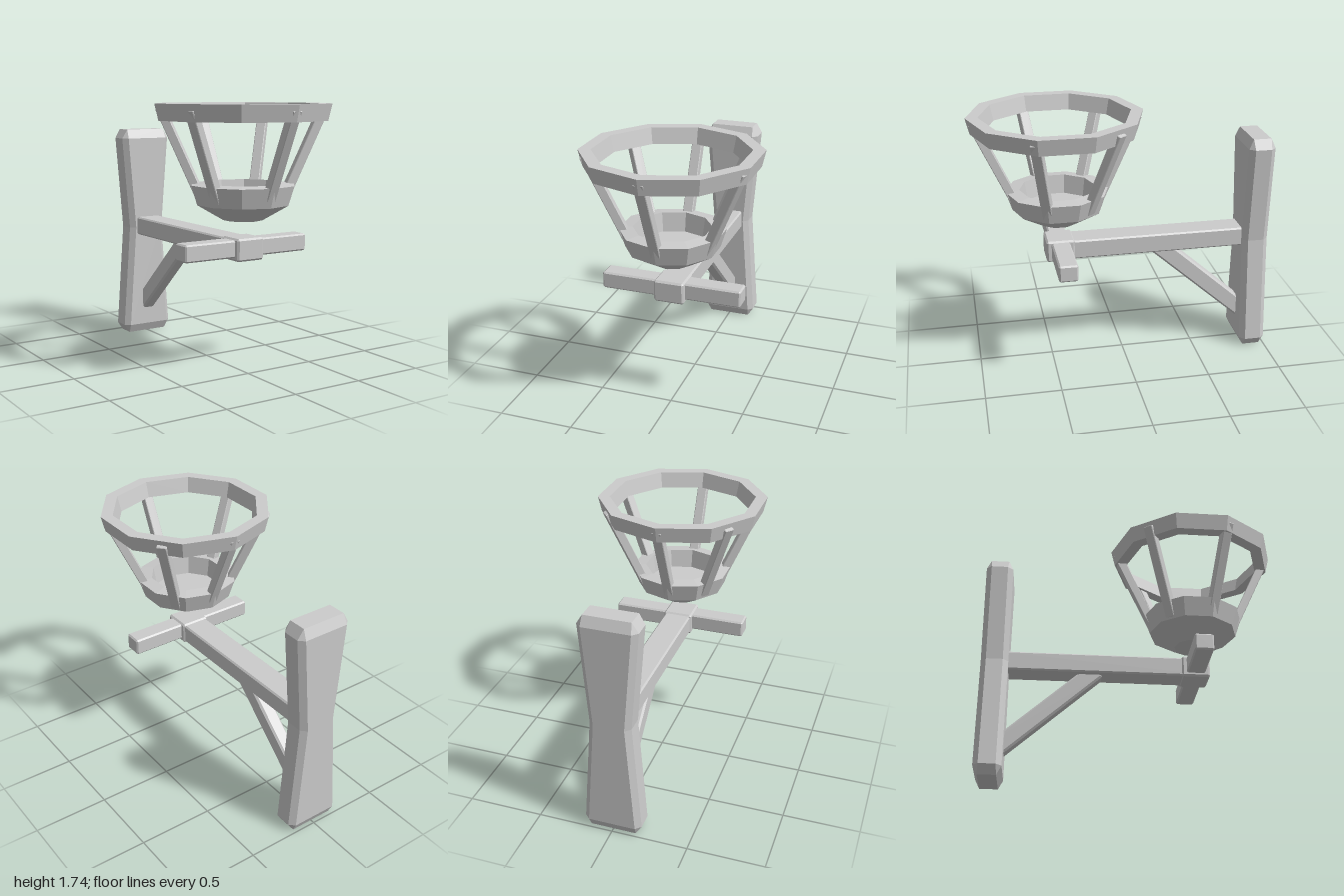
import * as THREE from 'three';

const CZ = 0.43; // centre of the basket in z
const mat = new THREE.MeshStandardMaterial({ color: 0xcccccc, flatShading: true, side: THREE.DoubleSide });

function mesh(name, geo, parent) {
  const m = new THREE.Mesh(geo, mat);
  m.name = name;
  parent.add(m);
  return m;
}

// Lofts chamfered rectangles along y; each section is [y, halfX, halfZ, chamfer]
function loft(sections) {
  const pos = [], idx = [];
  for (const [y, a, b, c] of sections) {
    const ring = [[a, b - c], [a - c, b], [c - a, b], [-a, b - c], [-a, c - b], [c - a, -b], [a - c, -b], [a, c - b]];
    for (const [x, z] of ring) pos.push(x, y, z);
  }
  const last = (sections.length - 1) * 8;
  for (let s = 0; s < last; s += 8) {
    for (let i = 0; i < 8; i++) {
      const j = (i + 1) % 8;
      idx.push(s + i, s + 8 + i, s + j, s + j, s + 8 + i, s + 8 + j);
    }
  }
  for (let i = 1; i < 7; i++) idx.push(0, i, i + 1, last, last + i + 1, last + i);
  const g = new THREE.BufferGeometry();
  g.setAttribute('position', new THREE.Float32BufferAttribute(pos, 3));
  g.setIndex(idx);
  const flat = g.toNonIndexed();
  flat.computeVertexNormals();
  return flat;
}

// Box with all edges chamfered, centred on the origin, long along y
function chamferBox(hx, hy, hz, c) {
  return loft([
    [-hy, hx - c, hz - c, 0], [c - hy, hx, hz, c],
    [hy - c, hx, hz, c], [hy, hx - c, hz - c, 0],
  ]);
}

// Beam between two points
function beam(name, from, to, hx, hz, c, parent) {
  const dir = to.clone().sub(from);
  const m = mesh(name, chamferBox(hx, dir.length() / 2, hz, c), parent);
  m.position.copy(from).add(to).multiplyScalar(0.5);
  m.quaternion.setFromUnitVectors(new THREE.Vector3(0, 1, 0), dir.normalize());
  return m;
}

// Ten-sided turned part with a corner facing the front
function turned(name, profile, parent) {
  const pts = profile.map(([r, y]) => new THREE.Vector2(r, y));
  return mesh(name, new THREE.LatheGeometry(pts, 10), parent);
}

export function createModel() {
  const model = new THREE.Group();
  model.name = 'wallBrazier';
  const v = (x, y, z) => new THREE.Vector3(x, y, z);

  // Waisted wall post with chamfered edges
  const post = mesh('wallPost', loft([
    [0, 0.15, 0.06, 0], [0.06, 0.19, 0.09, 0.035],
    [0.8, 0.135, 0.09, 0.035],
    [1.465, 0.19, 0.09, 0.035], [1.53, 0.15, 0.06, 0],
  ]), model);
  post.position.z = -0.91;

  // Arm, crossbar and the collar where they meet
  beam('arm', v(0, 0.815, -0.85), v(0, 0.815, 0.5), 0.09, 0.065, 0.01, model);
  beam('crossbar', v(-0.465, 0.823, CZ), v(0.465, 0.823, CZ), 0.056, 0.062, 0.01, model);
  const collar = mesh('collar', chamferBox(0.1, 0.073, 0.095, 0.012), model);
  collar.position.set(0, 0.817, CZ);

  // Diagonal brace under the arm
  beam('brace', v(0, 0.79, -0.23), v(0, 0.21, -0.88), 0.048, 0.06, 0.013, model);

  // Basket: bowl, top ring and slanted bars
  const basket = new THREE.Group();
  basket.name = 'basket';
  basket.position.z = CZ;
  model.add(basket);

  turned('bowl', [
    [0, 1.0], [0.13, 1.0], [0.3, 1.1], [0.34, 1.225],
    [0.25, 1.235], [0.23, 1.11], [0, 1.11],
  ], basket);
  turned('topRing', [
    [0.465, 1.63], [0.545, 1.63], [0.57, 1.735], [0.49, 1.735], [0.465, 1.63],
  ], basket);

  // Angles measured from +x towards the front
  for (const deg of [90, 20, 160, -40, -140, -90]) {
    const a = THREE.MathUtils.degToRad(deg);
    const bar = new THREE.Group();
    bar.name = 'basketBar';
    bar.rotation.y = -a;
    basket.add(bar);
    beam('bar', v(0.265, 1.125, 0), v(0.53, 1.705, 0), 0.029, 0.033, 0.004, bar);
  }
  return model;
}
